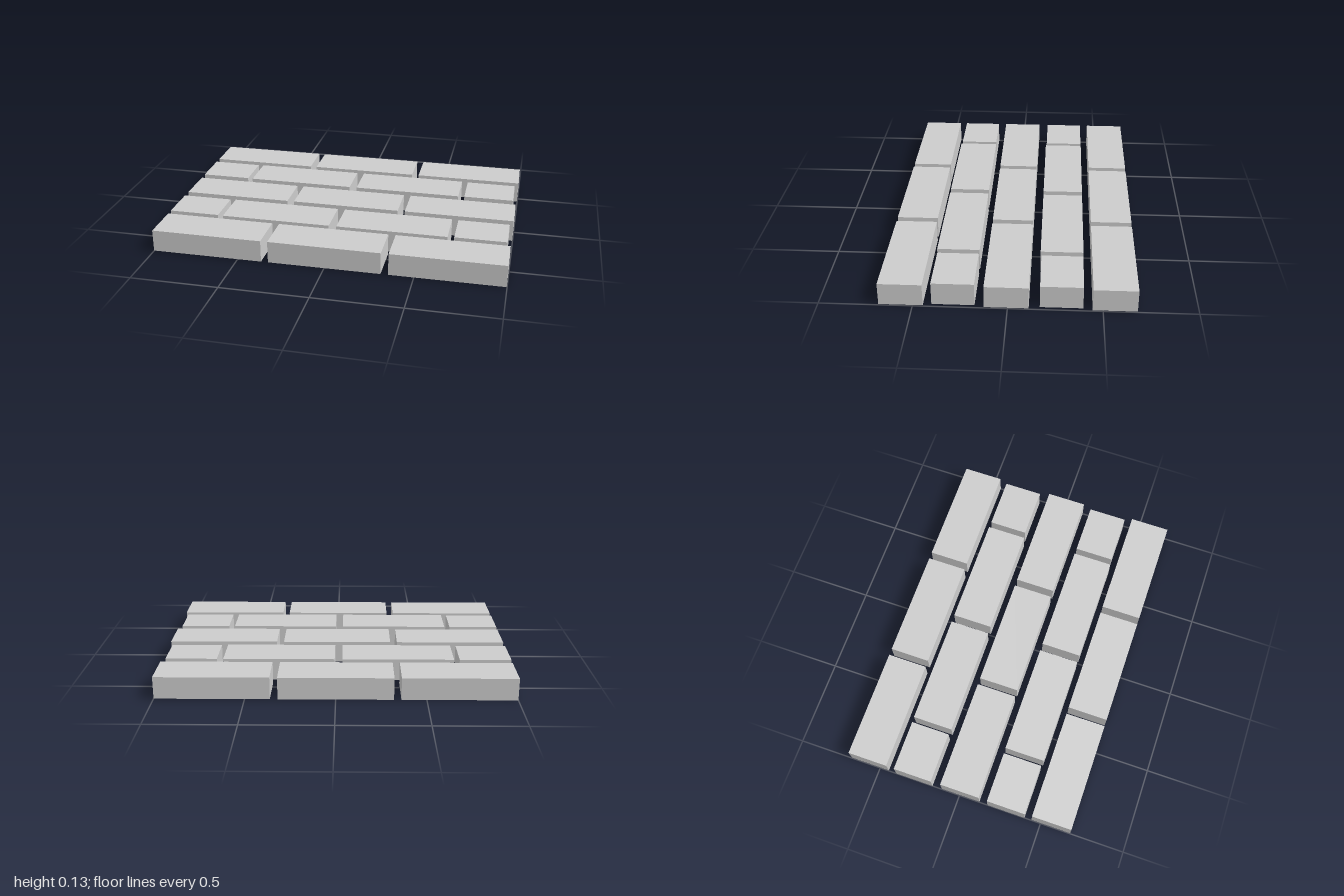
import * as THREE from 'three';

const BRICK = { width: 0.638, bottom: 0.004, top: 0.131, depth: 0.235 };
const HALF = { width: 0.295, bottom: 0, top: 0.13, depth: 0.228 };

export function createModel() {
  const model = new THREE.Group();
  model.name = 'brickPaving';
  const material = new THREE.MeshStandardMaterial({ color: 0xcccccc, flatShading: true });

  function addBrick(row, name, size, x, z) {
    const height = size.top - size.bottom;
    const brick = new THREE.Mesh(new THREE.BoxGeometry(size.width, height, size.depth), material);
    brick.name = name;
    brick.position.set(x, size.bottom + height / 2, z);
    row.add(brick);
  }

  function addRow(name) {
    const row = new THREE.Group();
    row.name = name;
    model.add(row);
    return row;
  }

  // Rows of three full bricks
  for (const z of [-0.5625, 0.006, 0.5625]) {
    const row = addRow('fullRow');
    for (const x of [-0.679, -0.001, 0.679]) addBrick(row, 'fullBrick', BRICK, x, z);
  }

  // Offset rows: two full bricks between half bricks
  for (const z of [-0.281, 0.29]) {
    const row = addRow('offsetRow');
    for (const x of [-0.354, 0.328]) addBrick(row, 'fullBrick', BRICK, x, z);
    for (const x of [-0.8525, 0.831]) addBrick(row, 'halfBrick', HALF, x, z - 0.002);
  }
  return model;
}
